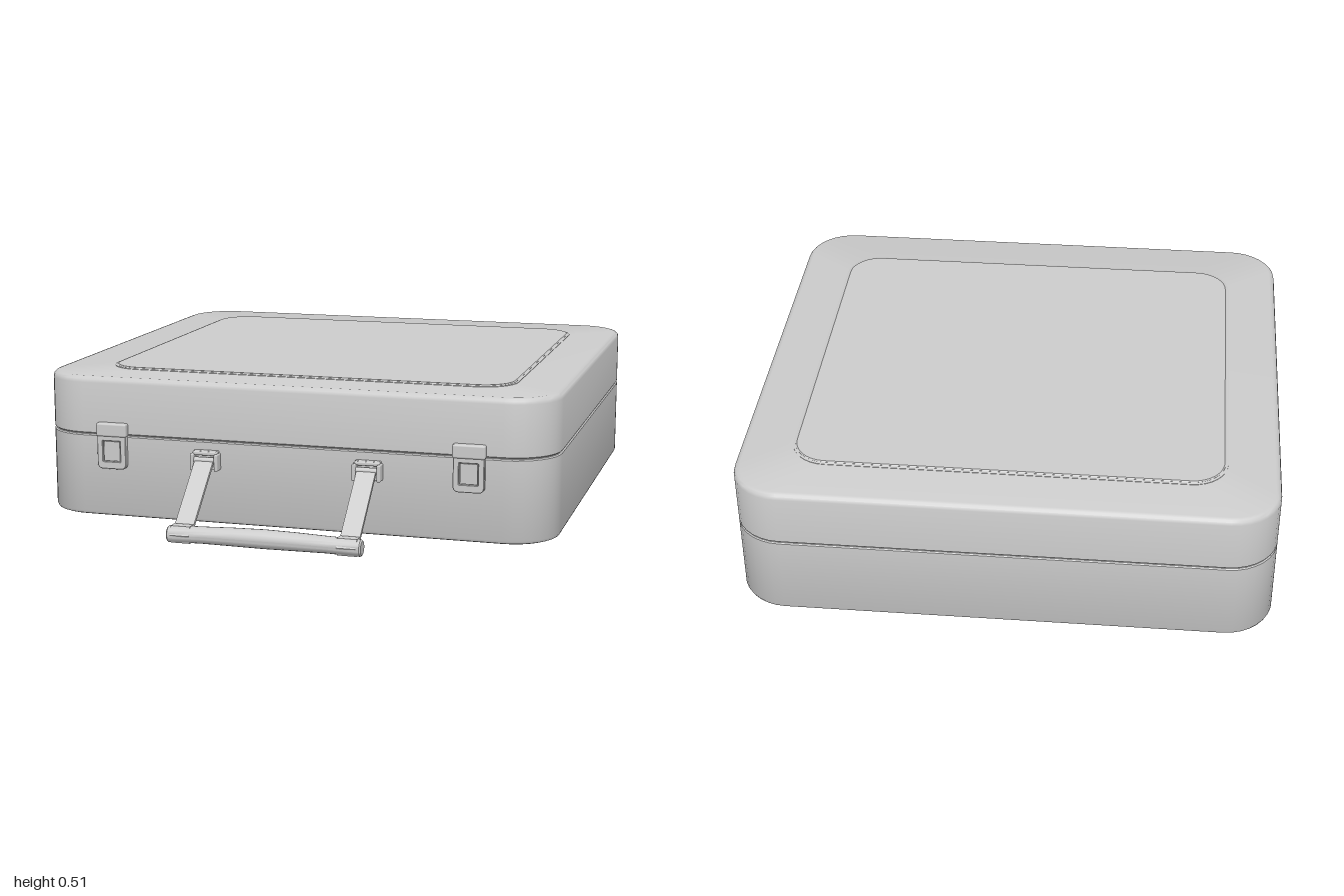
import * as THREE from 'three';
import { toCreasedNormals } from 'three/addons/utils/BufferGeometryUtils.js';
import { RoundedBoxGeometry } from 'three/addons/geometries/RoundedBoxGeometry.js';

const grey = new THREE.MeshStandardMaterial({ color: 0xcccccc });

function add(parent, name, geometry, x = 0, y = 0, z = 0) {
  const mesh = new THREE.Mesh(geometry, grey);
  mesh.name = name;
  mesh.position.set(x, y, z);
  parent.add(mesh);
  return mesh;
}

// Rounded rectangular slab, lofted through [inset, height] steps from bottom to top
function slab(halfW, zBack, zFront, radius, steps) {
  const pos = [], index = [], seg = 8, n = 4 * (seg + 1);
  const zc = (zBack + zFront) / 2, halfD = (zFront - zBack) / 2;
  for (const [inset, y] of steps) {
    const r = radius - inset;
    for (let q = 0; q < 4; q++) {
      const sx = q === 0 || q === 3 ? 1 : -1, sz = q < 2 ? -1 : 1;
      for (let i = 0; i <= seg; i++) {
        const a = (q + i / seg) * Math.PI / 2;
        pos.push(sx * (halfW - radius) + r * Math.cos(a), y, zc + sz * (halfD - radius) - r * Math.sin(a));
      }
    }
  }
  const last = steps.length - 1, bottom = pos.length / 3, top = bottom + 1;
  pos.push(0, steps[0][1], zc, 0, steps[last][1], zc);
  for (let i = 0; i < n; i++) {
    const k = (i + 1) % n;
    for (let s = 0; s < last; s++) {
      const a = s * n + i, b = s * n + k;
      index.push(a, b, b + n, a, b + n, a + n);
    }
    index.push(bottom, k, i, top, last * n + i, last * n + k);
  }
  const g = new THREE.BufferGeometry();
  g.setAttribute('position', new THREE.Float32BufferAttribute(pos, 3));
  g.setIndex(index);
  return toCreasedNormals(g, 0.6);
}

// Rectangle outline with separate bottom and top corner radii
function plate(Type, w, y0, y1, rBottom, rTop) {
  const s = new Type(), h = w / 2;
  s.moveTo(-h + rBottom, y0);
  s.lineTo(h - rBottom, y0);
  s.quadraticCurveTo(h, y0, h, y0 + rBottom);
  s.lineTo(h, y1 - rTop);
  s.quadraticCurveTo(h, y1, h - rTop, y1);
  s.lineTo(-h + rTop, y1);
  s.quadraticCurveTo(-h, y1, -h, y1 - rTop);
  s.lineTo(-h, y0 + rBottom);
  s.quadraticCurveTo(-h, y0, -h + rBottom, y0);
  return s;
}

function makeLatch() {
  const latch = new THREE.Group();
  latch.name = 'latch';
  // Framed flap with a recessed window
  const frame = plate(THREE.Shape, 0.104, 0.187, 0.32, 0.018, 0.004);
  frame.holes.push(plate(THREE.Path, 0.07, 0.21, 0.288, 0.004, 0.004));
  add(latch, 'latchFrame', toCreasedNormals(new THREE.ExtrudeGeometry(frame, {
    depth: 0.018, bevelSize: 0.002, bevelThickness: 0.002, bevelSegments: 1, curveSegments: 5,
  }), 0.6), 0, 0, 0.714);
  add(latch, 'latchWindow', new THREE.BoxGeometry(0.06, 0.07, 0.02), 0, 0.249, 0.72);
  add(latch, 'latchBacking', new THREE.BoxGeometry(0.08, 0.09, 0.008), 0, 0.249, 0.716);
  // Hook over the lid
  add(latch, 'latchHook', new RoundedBoxGeometry(0.114, 0.048, 0.03, 2, 0.007), 0, 0.326, 0.724);
  return latch;
}

function makeHinge() {
  const hinge = new THREE.Group();
  hinge.name = 'handleMount';
  add(hinge, 'mountPlate', new RoundedBoxGeometry(0.092, 0.07, 0.012, 2, 0.004), 0, 0.237, 0.717);
  add(hinge, 'mountTop', new RoundedBoxGeometry(0.09, 0.014, 0.03, 2, 0.005), 0, 0.264, 0.726);
  for (const s of [-1, 1])
    add(hinge, 'mountLug', new RoundedBoxGeometry(0.014, 0.06, 0.042, 2, 0.005), s * 0.044, 0.234, 0.731);
  const pin = new THREE.CylinderGeometry(0.011, 0.011, 0.09, 14).rotateZ(Math.PI / 2);
  add(hinge, 'mountPin', pin, 0, 0.24, 0.738);
  // Strap hanging down and forward to the grip
  const dy = 0.035 - 0.24, dz = 0.965 - 0.738;
  const strap = add(hinge, 'strap', new THREE.BoxGeometry(0.068, 0.012, Math.hypot(dy, dz)),
    0, 0.24 + dy / 2, 0.738 + dz / 2);
  strap.rotation.x = Math.atan2(-dy, dz);
  // Collar round the grip
  const collar = new THREE.CylinderGeometry(0.034, 0.034, 0.068, 6).rotateZ(Math.PI / 2);
  add(hinge, 'strapLoop', toCreasedNormals(collar, 0.5), 0, 0.035, 0.965);
  return hinge;
}

export function createModel() {
  const model = new THREE.Group();
  model.name = 'briefcase';

  // Case halves with a thin dark seam between them
  const shell = (steps) => slab(0.93, -1, 0.715, 0.17, steps);
  add(model, 'caseBottom', shell([
    [0.015, 0.008], [0.005, 0.012], [0, 0.022], [0, 0.299], [0.004, 0.303],
  ]));
  add(model, 'seam', shell([[0.008, 0.29], [0.008, 0.32]]));
  add(model, 'caseLid', shell([
    [0.004, 0.306], [0, 0.31], [0, 0.49], [0.003, 0.501], [0.01, 0.508], [0.02, 0.511],
  ]));

  // Raised panel on the lid with a narrow outer step
  add(model, 'panelRim', slab(0.75, -0.82, 0.535, 0.125, [[0, 0.505], [0, 0.5125], [0.002, 0.5135]]));
  add(model, 'lidPanel', slab(0.742, -0.81, 0.527, 0.117, [[0, 0.505], [0, 0.514], [0.004, 0.517]]));

  for (const s of [-1, 1]) {
    const latch = makeLatch();
    latch.position.x = s * 0.645;
    const hinge = makeHinge();
    hinge.position.x = s * 0.293;
    model.add(latch, hinge);
  }

  // Grip: slightly swollen towards the middle on its inner, upper side
  const grip = new THREE.LatheGeometry([
    [0, -0.342], [0.024, -0.342], [0.029, -0.337], [0.029, -0.22], [0.0315, -0.11], [0.033, 0],
    [0.0315, 0.11], [0.029, 0.22], [0.029, 0.337], [0.024, 0.342], [0, 0.342],
  ].map(([r, h]) => new THREE.Vector2(r, h)), 20).rotateZ(Math.PI / 2);
  const p = grip.attributes.position;
  for (let i = 0; i < p.count; i++) {
    const bow = 0.004 * (1 - (p.getX(i) / 0.342) ** 2);
    p.setY(i, p.getY(i) + bow);
    p.setZ(i, p.getZ(i) - bow);
  }
  grip.deleteAttribute('uv');
  add(model, 'grip', toCreasedNormals(grip, 0.6), 0, 0.033, 0.969);

  return model;
}
